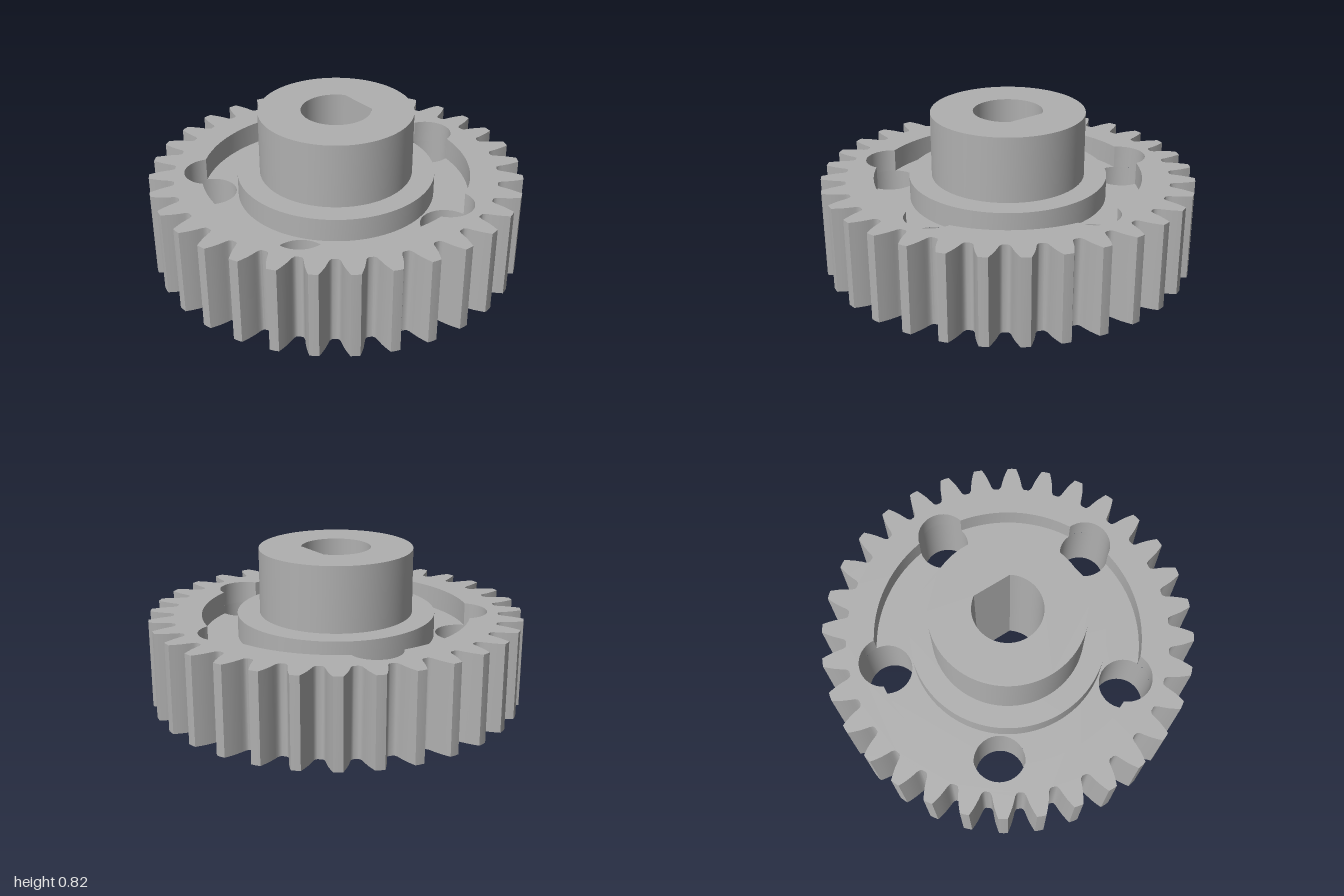
import * as THREE from 'three';
import { toCreasedNormals } from 'three/addons/utils/BufferGeometryUtils.js';

const TEETH = 32, HOLES = 5;
const TOP = 0.47, FLOOR = 0.345, HUB_TOP = 0.82;
const RECESS = 0.72, STEP = 0.53, HUB = 0.41, BORE = 0.185, BORE_FLAT = 0.15;
const HOLE_R = 0.137, HOLE_C = 0.677;

// Points along an arc, from angle a to angle b
function arc(cx, cy, r, a, b, n, closed = false) {
  const pts = [];
  for (let i = 0; i < (closed ? n : n + 1); i++) {
    const t = a + (b - a) * i / n;
    pts.push(new THREE.Vector2(cx + r * Math.cos(t), cy + r * Math.sin(t)));
  }
  return pts;
}
const circle = (r, cx = 0, cy = 0, n = 96) => arc(cx, cy, r, 0, Math.PI * 2, n, true);

// Tooth outline: half widths at each radius, from root fillet to tip
function gearOutline() {
  const flank = [[0.8676, 0.074], [0.872, 0.066], [0.885, 0.059], [0.905, 0.055],
    [0.941, 0.046], [0.972, 0.035], [0.999, 0.024]];
  const tooth = [...flank.map(([r, w]) => [r, -w]), [1, 0],
    ...flank.slice().reverse()];
  const pts = [];
  for (let k = 0; k < TEETH; k++) {
    const mid = k * Math.PI * 2 / TEETH;
    for (const [r, w] of tooth) {
      const a = mid + w / r;
      pts.push(new THREE.Vector2(r * Math.cos(a), r * Math.sin(a)));
    }
  }
  return pts;
}

// Recess circle joined with the holes (outer) or notched by them (inner)
function recessOutline(outer) {
  const pts = [], step = Math.PI * 2 / HOLES;
  const alpha = Math.acos((RECESS ** 2 + HOLE_C ** 2 - HOLE_R ** 2) / (2 * RECESS * HOLE_C));
  const beta = Math.atan2(RECESS * Math.sin(alpha), RECESS * Math.cos(alpha) - HOLE_C);
  for (let k = 0; k < HOLES; k++) {
    const m = k * step;
    const end = outer ? m + beta : m + beta - Math.PI * 2;
    pts.push(...arc(HOLE_C * Math.cos(m), HOLE_C * Math.sin(m), HOLE_R, m - beta, end, 28, true));
    pts.push(...arc(0, 0, RECESS, m + alpha, m + step - alpha, 18, true));
  }
  return pts;
}

// Upright wall along a closed outline, facing out or in
function wall(points, y0, y1, inward = false) {
  const p = inward ? points.slice().reverse() : points;
  const pos = [];
  p.forEach((a, i) => {
    const b = p[(i + 1) % p.length];
    pos.push(a.x, y0, -a.y, b.x, y0, -b.y, b.x, y1, -b.y);
    pos.push(a.x, y0, -a.y, b.x, y1, -b.y, a.x, y1, -a.y);
  });
  const g = new THREE.BufferGeometry();
  g.setAttribute('position', new THREE.Float32BufferAttribute(pos, 3));
  g.computeVertexNormals();
  return toCreasedNormals(g, 0.56);
}

// Flat face with openings, facing up or down
function face(points, openings, y, down = false) {
  const shape = new THREE.Shape(points);
  shape.holes = openings.map(o => new THREE.Path(o));
  return new THREE.ShapeGeometry(shape).rotateX(down ? Math.PI / 2 : -Math.PI / 2).translate(0, y, 0);
}

export function createModel() {
  const model = new THREE.Group();
  model.name = 'spurGear';
  const steel = new THREE.MeshStandardMaterial({ color: 0xb0b0b0 });
  steel.name = 'grey metal';
  const add = (name, geometry) => {
    const mesh = new THREE.Mesh(geometry, steel);
    mesh.name = name;
    model.add(mesh);
  };

  const gear = gearOutline();
  const flatAngle = Math.acos(BORE_FLAT / BORE);
  const bore = arc(0, 0, BORE, flatAngle, Math.PI * 2 - flatAngle, 64);
  const holes = [];
  for (let k = 0; k < HOLES; k++) {
    const a = k * Math.PI * 2 / HOLES;
    holes.push(circle(HOLE_R, HOLE_C * Math.cos(a), HOLE_C * Math.sin(a), 56));
  }
  const pocket = recessOutline(true);

  // Toothed rim
  add('teeth', wall(gear, 0, TOP));
  add('rimTop', face(gear, [pocket], TOP));
  add('underside', face(gear, [bore, ...holes], 0, true));

  // Recessed web with round holes
  add('recessWall', wall(pocket, FLOOR, TOP, true));
  add('recessFloor', face(recessOutline(false), [circle(STEP)], FLOOR));
  holes.forEach(h => add('webHole', wall(h, 0, FLOOR, true)));

  // Stepped hub with a D-shaped bore
  add('hubStepSide', wall(circle(STEP), FLOOR, TOP));
  add('hubStepTop', face(circle(STEP), [circle(HUB)], TOP));
  add('hubSide', wall(circle(HUB), TOP, HUB_TOP));
  add('hubTop', face(circle(HUB), [bore], HUB_TOP));
  add('shaftBore', wall(bore, 0, HUB_TOP, true));

  return model;
}
